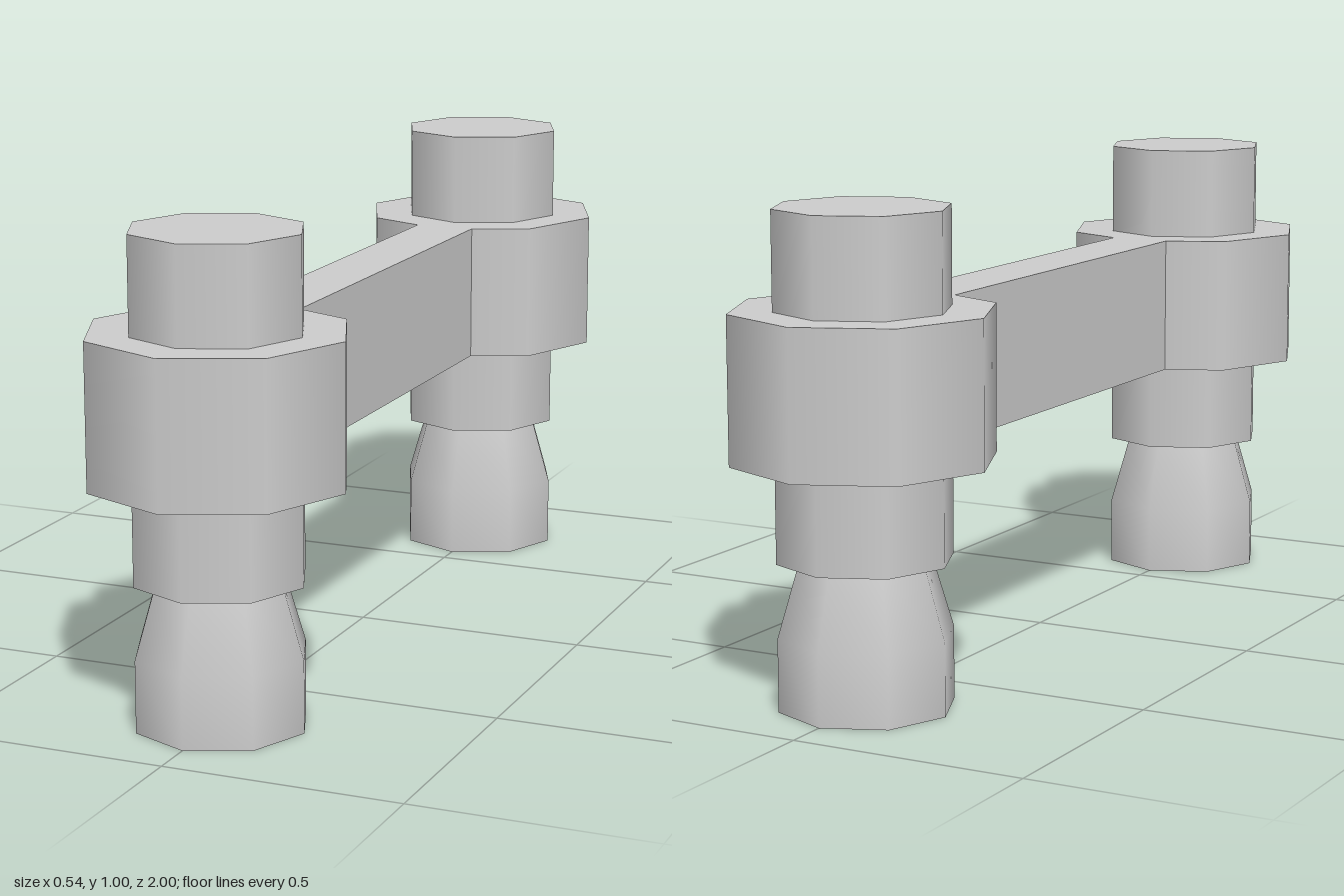
import * as THREE from 'three';

export function createModel() {
  const metal = new THREE.MeshStandardMaterial({ color: 0xcccccc });
  metal.name = 'plain grey';
  const SIDES = 8, POST_Z = 0.73, COLLAR_R = 0.27, POST_R = 0.18;

  const add = (parent, name, geometry, y = 0) => {
    const mesh = new THREE.Mesh(geometry, metal);
    mesh.name = name;
    mesh.position.y = y;
    parent.add(mesh);
    return mesh;
  };
  // eight-sided upright between two heights
  const drum = (parent, name, radius, y0, y1) =>
    add(parent, name, new THREE.CylinderGeometry(radius, radius, y1 - y0, SIDES), (y0 + y1) / 2);

  const model = new THREE.Group();
  model.name = 'linkedPosts';

  // two identical posts, each held in a collar
  for (const [name, side] of [['frontPost', 1], ['backPost', -1]]) {
    const post = new THREE.Group();
    post.name = name;
    post.position.z = side * POST_Z;
    drum(post, 'shaft', POST_R, 0.3, 1);
    drum(post, 'collar', COLLAR_R, 0.5, 0.8);

    // foot narrows towards the shaft
    const profile = [[POST_R, 0], [POST_R, 0.15], [0.135, 0.3]].map(([r, y]) => new THREE.Vector2(r, y));
    add(post, 'foot', new THREE.LatheGeometry(profile, SIDES));
    const sole = new THREE.CircleGeometry(POST_R, SIDES).rotateX(Math.PI / 2);
    add(post, 'footSole', sole);
    model.add(post);
  }

  // connecting bar, its ends notched to meet the collar corners
  const w = 0.067;
  const tip = POST_Z - COLLAR_R;
  const edge = tip + w * Math.tan(Math.PI / SIDES);
  const outline = new THREE.Shape([
    [-w, -edge], [0, -tip], [w, -edge], [w, edge], [0, tip], [-w, edge],
  ].map(([x, z]) => new THREE.Vector2(x, z)));
  const bar = new THREE.ExtrudeGeometry(outline, { depth: 0.3, bevelEnabled: false });
  add(model, 'connectingBar', bar.rotateX(-Math.PI / 2), 0.5);

  return model;
}
